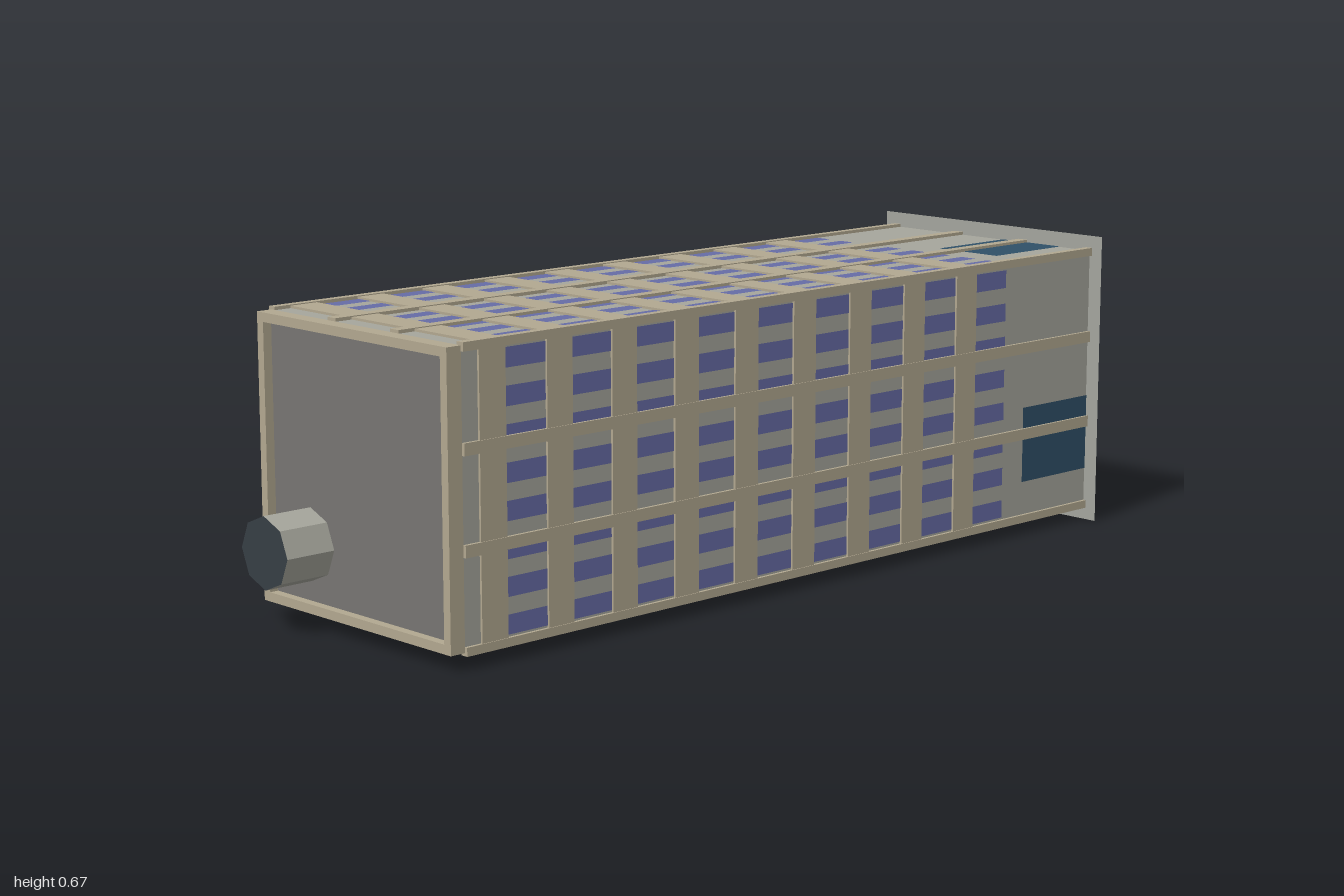
import * as THREE from 'three';
import { mergeGeometries } from 'three/addons/utils/BufferGeometryUtils.js';

const CY = 0.3325;   // height of the tower's long axis
const HALF = 0.298;  // half width of the tower
const BASE = -0.999; // foot of the tower
const TOP = 0.87;    // upper end of the ribs

const paint = (color, side = THREE.FrontSide) =>
  new THREE.MeshStandardMaterial({ color, side, flatShading: true });

const wall = paint(0xa6a69c);
const trim = paint(0xb2a890);
const glass = paint(0x666ca6);
const doorBlue = paint(0x2f5068);
const roofGrey = paint(0x777572);
const capDark = paint(0x363e44);
const ground = paint(0xa4a59e, THREE.DoubleSide);

// Box between two z values, centred on x, y
function bar(w, h, z0, z1, x = 0, y = 0) {
  return new THREE.BoxGeometry(w, h, z1 - z0).translate(x, y, (z0 + z1) / 2);
}

// Flat panel just off the upper face, u across and z along the tower
function panel(u, width, z0, z1) {
  return new THREE.PlaneGeometry(width, z1 - z0)
    .rotateX(-Math.PI / 2)
    .translate(u, HALF + 0.001, (z0 + z1) / 2);
}

export function createModel() {
  const model = new THREE.Group();
  const tower = new THREE.Group();
  tower.name = 'tower';
  tower.position.y = CY;
  model.add(tower);

  const add = (name, geometry, material) => {
    const mesh = new THREE.Mesh(geometry, material);
    mesh.name = name;
    tower.add(mesh);
    return mesh;
  };

  // Thin ground plate behind the foot
  add('groundPlate', new THREE.PlaneGeometry(0.664, 0.665).translate(0, 0, -1), ground);

  // Main block and its roof
  add('walls', bar(2 * HALF, 2 * HALF, BASE, 0.88), wall);
  add('roof', bar(0.57, 0.57, 0.875, 0.885), roofGrey);

  // Raised rim around the roof
  const rimShape = new THREE.Shape();
  const rimHole = new THREE.Path();
  const square = (path, s) => path.setFromPoints(
    [[-s, -s], [s, -s], [s, s], [-s, s]].map(([x, y]) => new THREE.Vector2(x, y)));
  square(rimShape, 0.2985);
  square(rimHole, 0.279);
  rimShape.holes.push(rimHole);
  add('roofRim', new THREE.ExtrudeGeometry(rimShape, { depth: 0.035, bevelEnabled: false })
    .translate(0, 0, TOP), trim);

  // Raised bands between the window rows
  const bands = [];
  for (let row = 0; row < 9; row++) {
    const z = 0.797 - row * 0.1705;
    bands.push(bar(0.606, 0.606, z - 0.033, z + 0.033));
  }
  add('floorBands', mergeGeometries(bands), trim);

  // Windows for one face: nine rows of eight
  const panes = [];
  for (let row = 0; row < 9; row++) {
    const z = 0.712 - row * 0.1705;
    for (let col = 0; col < 8; col++) {
      panes.push(panel((col - 3.5) * 0.075, 0.04, z - 0.052, z + 0.052));
    }
  }
  const windows = mergeGeometries(panes);

  // Two inner ribs for one face
  const ribs = mergeGeometries([-0.099, 0.099].map(
    x => bar(0.025, 0.014, BASE, TOP, x, HALF)));

  // Repeat windows and ribs around the four faces
  ['top', 'right', 'bottom', 'left'].forEach((face, i) => {
    const turn = -i * Math.PI / 2;
    add(face + 'Windows', windows, glass).rotation.z = turn;
    add(face + 'Ribs', ribs, trim).rotation.z = turn;
  });

  // Ribs along the four corners
  const corners = [];
  for (const x of [-1, 1]) {
    for (const y of [-1, 1]) {
      corners.push(bar(0.018, 0.018, BASE, TOP, x * 0.296, y * 0.296));
    }
  }
  add('cornerRibs', mergeGeometries(corners), trim);

  // Entrances on two neighbouring faces
  const entrance = panel(0.125, 0.172, BASE, -0.773);
  add('topEntrance', entrance, doorBlue);
  add('sideEntrance', entrance, doorBlue).rotation.z = -Math.PI / 2;

  // Eight-sided chimney on the roof
  const chimney = new THREE.CylinderGeometry(0.076, 0.076, 0.12, 8).rotateX(Math.PI / 2);
  add('chimney', chimney, [wall, capDark, wall]).position.set(-0.163, 0.171 - CY, 0.94);

  return model;
}
